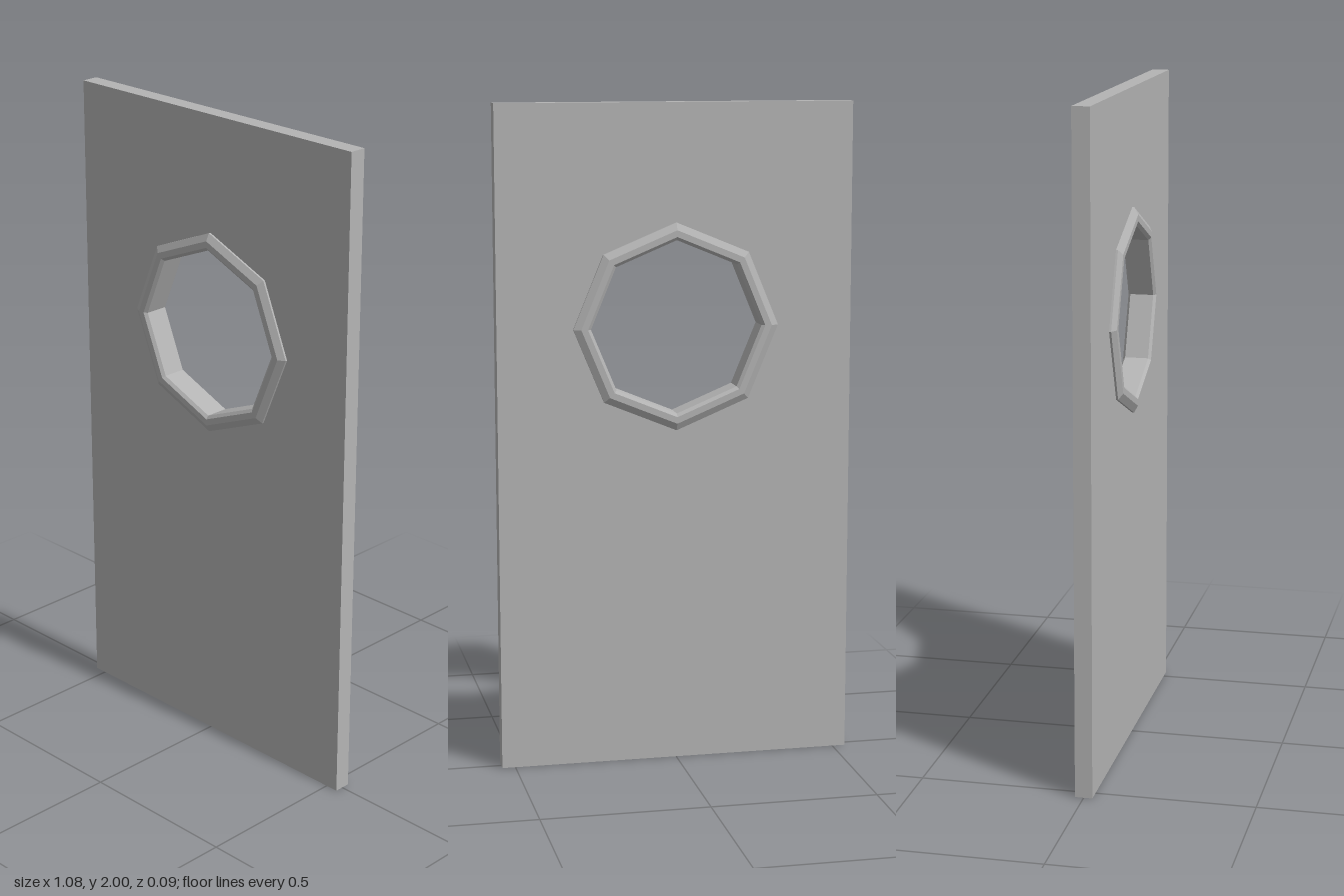
import * as THREE from 'three';

const SIDES = 8;
const WINDOW_Y = 1.335;

export function createModel() {
  const group = new THREE.Group();
  group.name = 'doorWithWindow';
  const grey = new THREE.MeshStandardMaterial({ color: 0xb4b4b4 });
  grey.name = 'grey';

  // Door slab with an octagonal opening, hidden under the window frame
  const width = 1.08, height = 2, depth = 0.052;
  const outline = new THREE.Shape([
    new THREE.Vector2(-width / 2, 0),
    new THREE.Vector2(width / 2, 0),
    new THREE.Vector2(width / 2, height),
    new THREE.Vector2(-width / 2, height),
  ]);
  const holePoints = [];
  for (let i = 0; i < SIDES; i++) {
    const a = -(i / SIDES) * Math.PI * 2;
    holePoints.push(new THREE.Vector2(0.28 * Math.cos(a), WINDOW_Y + 0.28 * Math.sin(a)));
  }
  outline.holes.push(new THREE.Path(holePoints));
  const slabGeometry = new THREE.ExtrudeGeometry(outline, { depth, bevelEnabled: false });
  slabGeometry.translate(0, 0, -depth / 2);
  const slab = new THREE.Mesh(slabGeometry, grey);
  slab.name = 'doorPanel';
  group.add(slab);

  // Octagonal frame: chamfered ring through the panel, raised on both faces
  const profile = [
    [0.312, -0.032], [0.312, 0.032], [0.29, 0.044], [0.27, 0.044],
    [0.26, 0.036], [0.26, -0.036], [0.27, -0.044], [0.29, -0.044], [0.312, -0.032],
  ].map(([r, z]) => new THREE.Vector2(r, z));
  const frameGeometry = new THREE.LatheGeometry(profile, SIDES).toNonIndexed();
  frameGeometry.computeVertexNormals();
  frameGeometry.rotateX(Math.PI / 2);
  const frame = new THREE.Mesh(frameGeometry, grey);
  frame.name = 'windowFrame';
  frame.position.y = WINDOW_Y;
  group.add(frame);

  return group;
}
